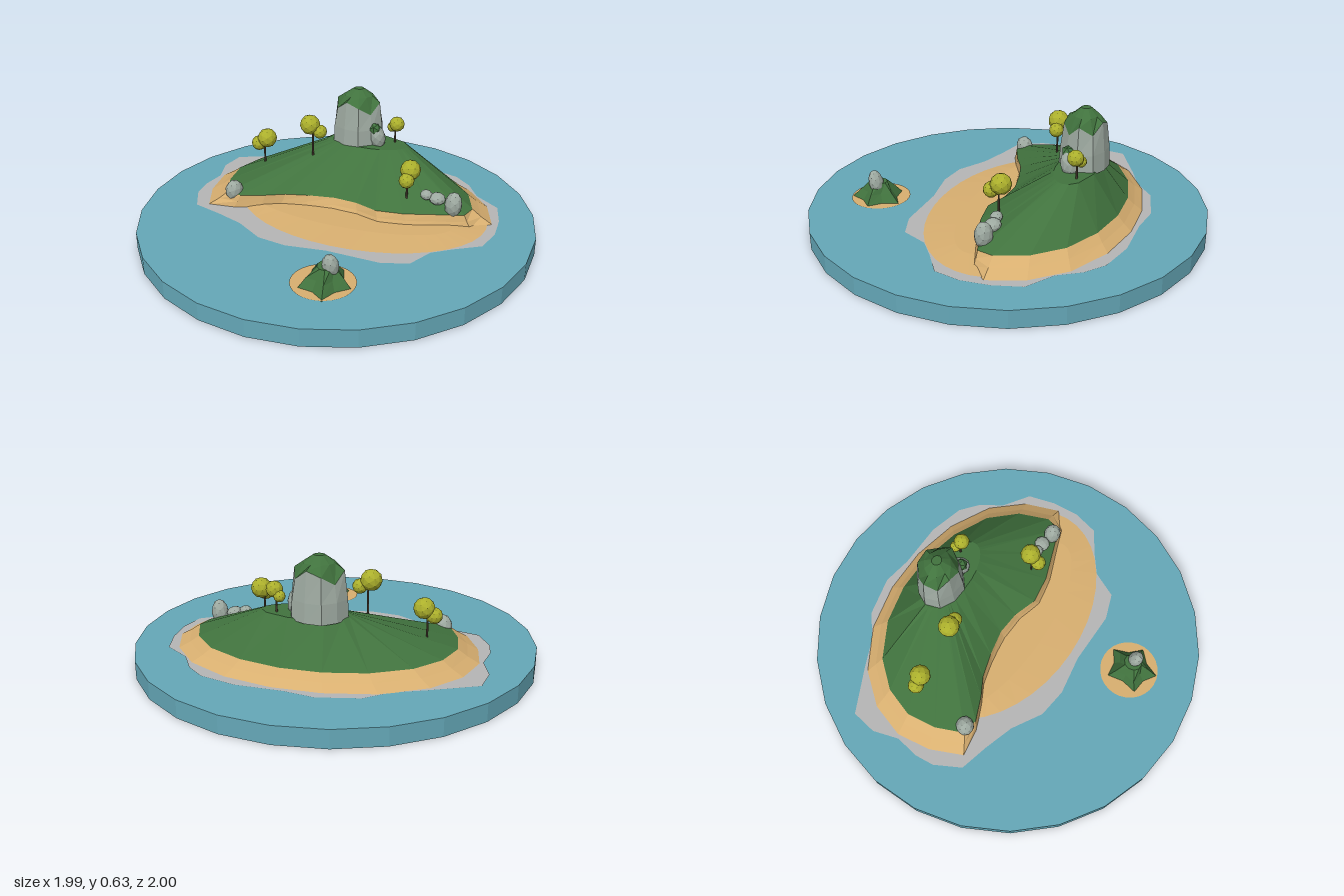
import * as THREE from 'three';

const mat = (name, color, extra = {}) => Object.assign(
  new THREE.MeshStandardMaterial({ color, flatShading: true, ...extra }), { name });

// Joins rings of [x, y, z] points from bottom to top; the last ring is closed by a fan.
function loft(rings, cap = true) {
  const pos = [];
  const n = rings[0].length;
  const top = rings[rings.length - 1];
  const mid = [0, 1, 2].map(k => top.reduce((s, p) => s + p[k], 0) / n);
  for (let i = 0; i < n; i++) {
    const j = (i + 1) % n;
    for (let r = 0; r + 1 < rings.length; r++) {
      const a = rings[r][i], b = rings[r][j], c = rings[r + 1][i], d = rings[r + 1][j];
      pos.push(...a, ...c, ...b, ...b, ...c, ...d);
    }
    if (cap) pos.push(...mid, ...top[j], ...top[i]);
  }
  const g = new THREE.BufferGeometry();
  g.setAttribute('position', new THREE.Float32BufferAttribute(pos, 3));
  g.computeVertexNormals();
  return g;
}

// Elliptical ring; height and radius may vary with the point index.
const ring = (n, cx, cz, rx, rz, y, wobble = () => 1) => Array.from({ length: n }, (_, i) => {
  const a = i / n * Math.PI * 2, w = wobble(i);
  return [cx + Math.cos(a) * rx * w, typeof y === 'function' ? y(i) : y, cz + Math.sin(a) * rz * w];
});

export function createModel() {
  const model = new THREE.Group();
  model.name = 'island';
  const sea = mat('sea blue', 0x65a8b8);
  const foam = mat('foam grey', 0xb6b6b6);
  const sand = mat('sand', 0xd8af70);
  const grass = mat('grass green', 0x41733e);
  const stone = mat('stone grey', 0x9eaaa1);
  const leaf = mat('leaf yellow green', 0xacb02c);
  const bark = mat('bark', 0x57483a);

  const add = (name, geometry, material, parent = model) => {
    const m = new THREE.Mesh(geometry, material);
    m.name = name;
    parent.add(m);
    return m;
  };

  // Sea disc
  add('sea', new THREE.CylinderGeometry(1, 1, 0.088, 26), sea).position.y = 0.044;

  // Foam around the shore
  const foamLine = [
    [0.8, -0.08], [0.77, 0.05], [0.65, 0.13], [0.56, 0.2], [0.5, 0.33], [0.37, 0.375], [0.1, 0.37],
    [-0.1, 0.4], [-0.25, 0.38], [-0.4, 0.29], [-0.55, 0.24], [-0.7, 0.2], [-0.77, 0.07], [-0.78, -0.03],
    [-0.76, -0.15], [-0.8, -0.28], [-0.78, -0.41], [-0.55, -0.52], [-0.41, -0.58], [-0.3, -0.67],
    [-0.1, -0.715], [0.05, -0.69], [0.28, -0.685], [0.46, -0.635], [0.55, -0.56], [0.62, -0.45],
    [0.75, -0.36], [0.79, -0.22]];
  add('foam', loft([foamLine.map(([x, z]) => [x, 0.091, z])]), foam);

  // Low beach filling the bay
  add('beach', loft([
    ring(40, 0.1, -0.11, 0.65, 0.435, 0.093),
    ring(40, 0.05, -0.04, 0.55, 0.2, 0.106)]), sand);

  // Main hill: kidney outline, with a sand skirt below and a plateau above
  const edge = [
    [0.66, -0.18], [0.64, -0.1], [0.5, -0.05], [0.36, 0], [0.22, 0.02], [0.1, -0.02], [-0.02, -0.03],
    [-0.15, -0.005], [-0.27, 0.03], [-0.36, 0.08], [-0.48, 0.13], [-0.56, 0.12], [-0.62, -0.02],
    [-0.64, -0.17], [-0.59, -0.32], [-0.48, -0.45], [-0.3, -0.55], [-0.1, -0.595], [0.1, -0.595],
    [0.3, -0.55], [0.48, -0.46], [0.6, -0.33]];
  const skirt = (t, y) => edge.map(([x, z], i) => {
    const inBay = i > 0 && i < 11;
    const w = t * (inBay ? 0.035 : 0.07 + 0.035 * Math.abs(x) / 0.65);
    const l = Math.hypot(x, z + 0.2);
    return [x + x / l * w, y, z + (z + 0.2) / l * w];
  });
  add('sandSlope', loft([skirt(1, 0.09), skirt(0.45, 0.122), skirt(0, 0.155)], false), sand);
  const plateau = edge.map(([x, z]) => {
    const a = Math.atan2(z + 0.37, x - 0.04);
    return [0.04 + Math.cos(a) * 0.21, 0.347, -0.37 + Math.sin(a) * 0.1];
  });
  add('grassHill', loft([skirt(0, 0.155), plateau]), grass);

  // Tall summit rock with a ragged grassy cap
  const jag = i => 0.54 + [0.025, -0.03, 0.01, 0.035, -0.015][i % 5];
  const wob = i => 1 + [0.04, -0.05, 0.02, -0.03, 0.05][i % 5];
  const seam = ring(10, -0.03, -0.385, 0.113, 0.1, jag, wob);
  add('summitRock', loft([
    ring(10, -0.03, -0.385, 0.132, 0.12, 0.335, wob),
    ring(10, -0.03, -0.385, 0.128, 0.115, 0.43, wob), seam], false), stone);
  add('summitMoss', loft([seam,
    ring(10, -0.03, -0.385, 0.073, 0.065, 0.595, wob),
    ring(10, -0.03, -0.385, 0.026, 0.024, 0.63)]), grass);

  // Boulders: [name, centre, radii]
  const rocks = [
    ['westRock', -0.53, 0.16, 0.1, 0.045, 0.06, 0.048],
    ['eastTallRock', 0.58, 0.2, -0.105, 0.042, 0.068, 0.045],
    ['eastRock', 0.495, 0.212, -0.115, 0.042, 0.03, 0.04],
    ['eastSmallRock', 0.44, 0.225, -0.11, 0.032, 0.025, 0.03],
    ['isletRock', 0.232, 0.185, 0.625, 0.036, 0.064, 0.04],
    ['summitSideRock', 0.09, 0.385, -0.35, 0.042, 0.07, 0.05]];
  for (const [name, x, y, z, rx, ry, rz] of rocks) {
    const m = add(name, new THREE.IcosahedronGeometry(1, 1), stone);
    m.position.set(x, y, z);
    m.scale.set(rx, ry, rz);
    m.rotation.set(0.1, x * 7, 0.12);
  }
  const moss = add('sideRockMoss', new THREE.IcosahedronGeometry(0.034, 0), grass);
  moss.position.set(0.082, 0.435, -0.335);

  // Trees: trunk base, then crown balls [x, y, z, radius]
  const trees = [
    [[-0.21, 0.26, -0.19], [-0.225, 0.466, -0.19, 0.053], [-0.172, 0.433, -0.195, 0.037]],
    [[-0.495, 0.17, -0.19], [-0.478, 0.35, -0.19, 0.052], [-0.525, 0.316, -0.185, 0.04]],
    [[0.345, 0.18, -0.085], [0.355, 0.35, -0.1, 0.052], [0.352, 0.313, -0.05, 0.039]],
    [[0.17, 0.33, -0.405], [0.18, 0.453, -0.4, 0.04], [0.15, 0.427, -0.418, 0.028]]];
  trees.forEach(([base, ...balls], t) => {
    const tree = new THREE.Group();
    tree.name = 'tree' + (t + 1);
    model.add(tree);
    const h = balls[0][1] - base[1];
    add('trunk', new THREE.CylinderGeometry(0.004, 0.006, h, 6), bark, tree)
      .position.set(base[0], base[1] + h / 2, base[2]);
    balls.forEach(([x, y, z, r], i) => {
      const m = add('crown', new THREE.IcosahedronGeometry(r, 1), leaf, tree);
      m.position.set(x, y, z);
      m.rotation.y = t + i;
    });
  });

  // Islet with a ridged mound
  add('isletSand', loft([ring(28, 0.195, 0.622, 0.15, 0.148, 0.093)]), sand);
  const lobes = i => (i % 2 ? 0.68 : 1);
  add('isletMound', loft([
    ring(10, 0.208, 0.627, 0.125, 0.14, 0.088, lobes),
    ring(10, 0.208, 0.625, 0.088, 0.092, 0.135, lobes),
    ring(10, 0.21, 0.623, 0.04, 0.045, 0.183)]), grass);

  return model;
}
